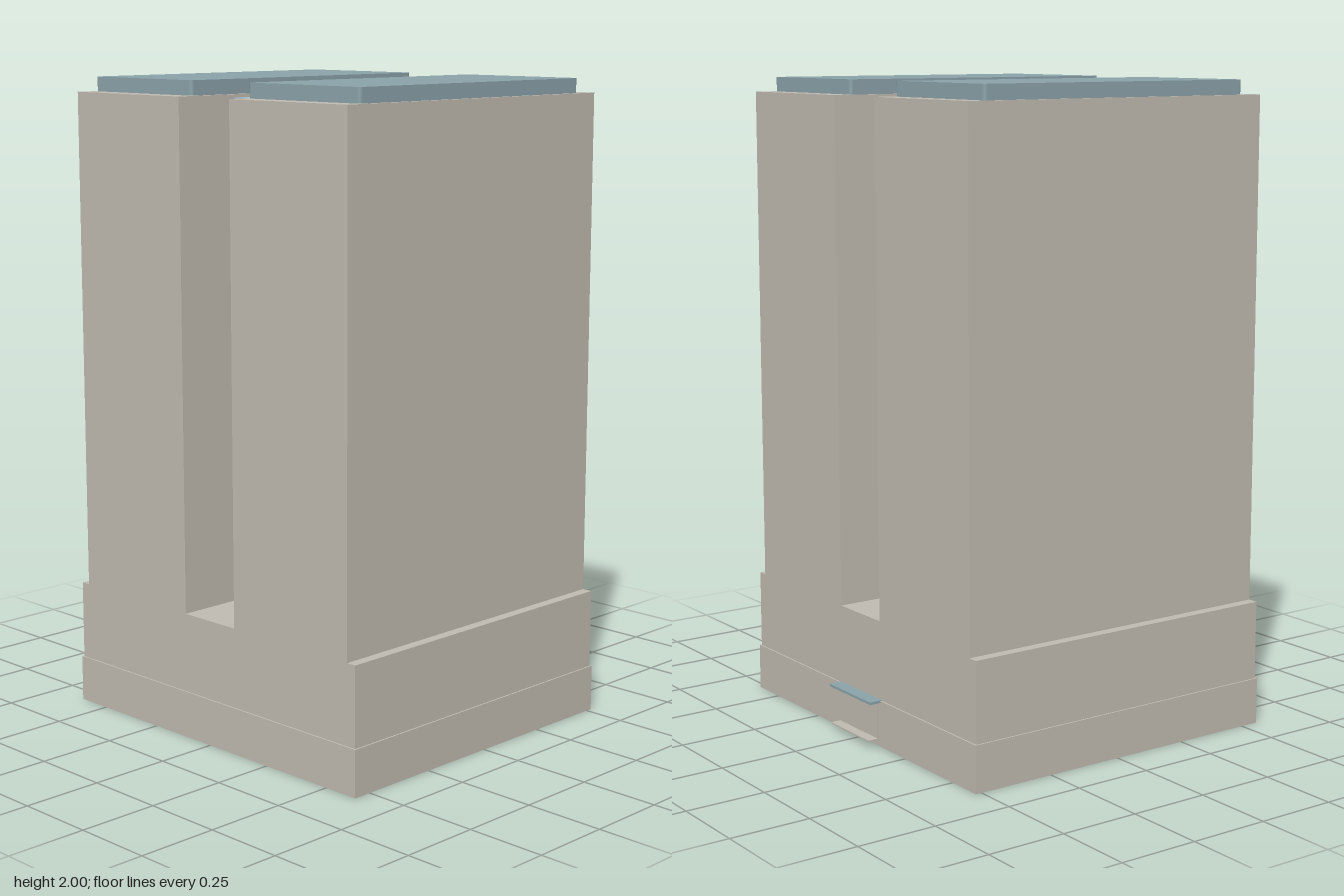
import * as THREE from 'three';

const mat = (name, color) => {
  const m = new THREE.MeshStandardMaterial({ color });
  m.name = name;
  return m;
};

export function createModel() {
  const root = new THREE.Group();
  root.name = 'twinSlabBuilding';
  const stone = mat('stone', 0xc0bbb1);
  const roofTeal = mat('roofTeal', 0x8ba3aa);
  const glassBlue = mat('glassBlue', 0xa4bac9);

  // Box given by its extents along each axis
  const block = (name, material, [x0, x1], [y0, y1], [z0, z1]) => {
    const mesh = new THREE.Mesh(new THREE.BoxGeometry(x1 - x0, y1 - y0, z1 - z0), material);
    mesh.position.set((x0 + x1) / 2, (y0 + y1) / 2, (z0 + z1) / 2);
    mesh.name = name;
    root.add(mesh);
  };

  // Flat slab with softly rounded plan corners
  const roofSlab = (name, [x0, x1], [y0, y1], [z0, z1]) => {
    const r = 0.01, w = (x1 - x0) / 2, d = (z1 - z0) / 2;
    const s = new THREE.Shape();
    [[w, d, 0], [-w, d, 1], [-w, -d, 2], [w, -d, 3]].forEach(([x, y, q]) => {
      s.absarc(x - Math.sign(x) * r, y - Math.sign(y) * r, r, q * Math.PI / 2, (q + 1) * Math.PI / 2);
    });
    const geo = new THREE.ExtrudeGeometry(s, { depth: y1 - y0, bevelEnabled: false, curveSegments: 4 });
    geo.rotateX(-Math.PI / 2);
    const mesh = new THREE.Mesh(geo, roofTeal);
    mesh.position.set((x0 + x1) / 2, y0, (z0 + z1) / 2);
    mesh.name = name;
    root.add(mesh);
  };

  // Stepped base
  block('plinth', stone, [-0.56, 0.52], [0, 0.145], [-0.617, 0.617]);
  block('podium', stone, [-0.555, 0.515], [0.145, 0.392], [-0.612, 0.612]);

  // Two parallel towers with roof caps
  block('frontTower', stone, [-0.555, 0.515], [0.392, 1.955], [0.108, 0.58]);
  block('backTower', stone, [-0.555, 0.515], [0.392, 1.955], [-0.58, -0.11]);
  roofSlab('frontRoofCap', [-0.492, 0.452], [1.955, 2], [0.121, 0.565]);
  roofSlab('backRoofCap', [-0.492, 0.452], [1.955, 2], [-0.567, -0.125]);

  // Bridges linking the towers
  [[0.533, 0.625], [1.03, 1.117], [1.525, 1.615], [1.89, 1.945]].forEach((y, i) =>
    block(`bridge${i + 1}`, glassBlue, [-0.338, 0.295], y, [-0.11, 0.108]));

  // Entrance on the left side: canopy, door panel and step
  block('entranceCanopy', roofTeal, [0.515, 0.557], [0.139, 0.147], [-0.118, 0.114]);
  block('entrancePanel', stone, [0.518, 0.524], [0.022, 0.139], [-0.107, 0.108]);
  block('entranceStep', stone, [0.518, 0.557], [0.02, 0.024], [-0.107, 0.108]);

  return root;
}
